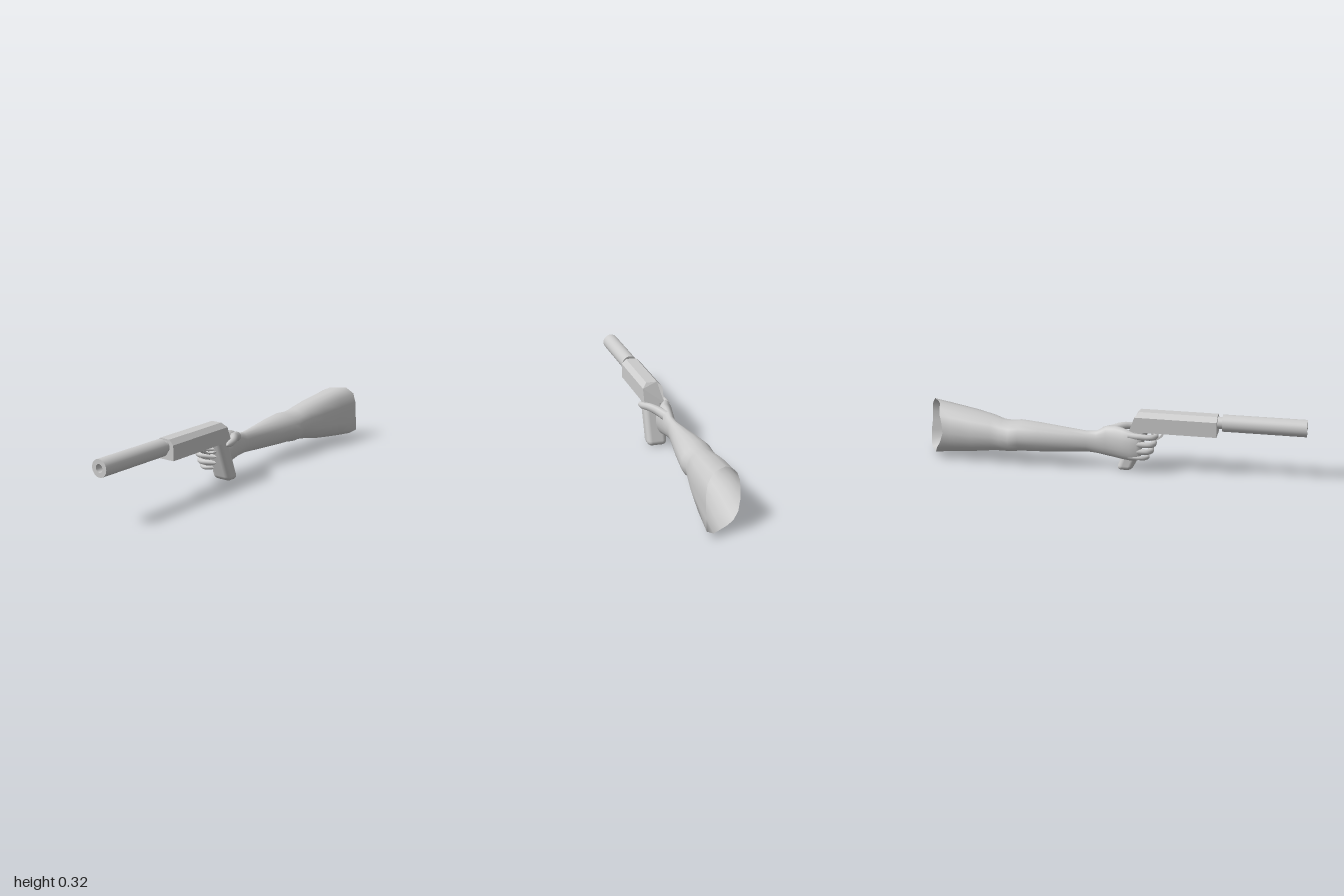
import * as THREE from 'three';
import { RoundedBoxGeometry } from 'three/addons/geometries/RoundedBoxGeometry.js';

const AXIS_X = 0.0075; // centre line of the pistol
const BORE_Y = 0.278;

export function createModel() {
  const model = new THREE.Group();
  const grey = new THREE.MeshStandardMaterial({ color: 0xcccccc });
  const flat = new THREE.MeshStandardMaterial({ color: 0xcccccc, flatShading: true });
  const skin = new THREE.MeshStandardMaterial({ color: 0xcccccc, side: THREE.DoubleSide });

  const add = (name, geometry, material, parent = model) => {
    const mesh = new THREE.Mesh(geometry, material);
    mesh.name = name;
    parent.add(mesh);
    return mesh;
  };

  // Skin over oval rings: [z, xMin, xMax, yMin, yMax]; adjust() may move each point
  const loft = (sections, sides, adjust) => {
    const pos = [], index = [];
    sections.forEach(([z, x0, x1, y0, y1], i) => {
      for (let j = 0; j < sides; j++) {
        const a = (j / sides) * Math.PI * 2;
        const p = new THREE.Vector3(
          (x0 + x1) / 2 + Math.cos(a) * (x1 - x0) / 2,
          (y0 + y1) / 2 + Math.sin(a) * (y1 - y0) / 2, z);
        if (adjust) adjust(p, i, a);
        pos.push(p.x, p.y, p.z);
        if (i < sections.length - 1) {
          const k = (j + 1) % sides, r = i * sides, s = r + sides;
          index.push(r + j, r + k, s + k, r + j, s + k, s + j);
        }
      }
    });
    const g = new THREE.BufferGeometry();
    g.setAttribute('position', new THREE.Float32BufferAttribute(pos, 3));
    g.setIndex(index);
    g.computeVertexNormals();
    return g;
  };

  // Tapered tube with a rounded tip
  const digit = (points, radius, taper) => {
    const curve = new THREE.CatmullRomCurve3(points.map(p => new THREE.Vector3(...p)));
    const steps = 24, sides = 10;
    const g = new THREE.TubeGeometry(curve, steps, radius, sides);
    const p = g.attributes.position, v = new THREE.Vector3();
    for (let i = 0; i <= steps; i++) {
      const t = i / steps, c = curve.getPointAt(t);
      const tip = t > 0.86 ? Math.sqrt(Math.max(0, 1 - ((t - 0.86) / 0.14) ** 2)) : 1;
      for (let j = 0; j <= sides; j++) {
        const n = i * (sides + 1) + j;
        v.fromBufferAttribute(p, n).sub(c).multiplyScalar((1 - taper * t) * tip).add(c);
        p.setXYZ(n, v.x, v.y, v.z);
      }
    }
    return g;
  };

  // Pistol
  const pistol = new THREE.Group();
  pistol.name = 'pistol';
  model.add(pistol);

  // Slide: chamfered section, with its rear end leaning forward
  const section = new THREE.Shape([
    [-0.045, 0.215], [0.06, 0.215], [0.06, 0.292], [0.036, 0.316], [-0.021, 0.316], [-0.045, 0.292],
  ].map(p => new THREE.Vector2(...p)));
  const slide = new THREE.ExtrudeGeometry(section, { depth: 0.44, bevelEnabled: false });
  const sp = slide.attributes.position;
  for (let i = 0; i < sp.count; i++) {
    const y = sp.getY(i);
    const rear = 0.118 + (y - 0.215) * 0.37 + Math.max(0, y - 0.292) * 0.5;
    sp.setZ(i, sp.getZ(i) > 0.2 ? 0.56 : rear);
  }
  add('slide', slide, flat, pistol);

  // Grip: rounded block sheared backwards
  const grip = new RoundedBoxGeometry(0.105, 0.24, 0.082, 4, 0.026);
  grip.applyMatrix4(new THREE.Matrix4().set(
    1, 0, 0, AXIS_X,
    0, 1, 0, 0.122,
    0, 0.37, 1, 0.136,
    0, 0, 0, 1));
  add('grip', grip, grey, pistol);

  // Suppressor with recessed bore
  const lathe = pts => {
    const g = new THREE.LatheGeometry(pts.map(p => new THREE.Vector2(...p)), 32).toNonIndexed();
    g.rotateX(Math.PI / 2).translate(AXIS_X, BORE_Y, 0);
    return g;
  };
  const tube = (name, ...bands) => bands.forEach(b => add(name, lathe(b), grey, pistol));
  tube('suppressor',
    [[0, 0.585], [0.043, 0.585]],
    [[0.043, 0.585], [0.043, 1]],
    [[0.043, 1], [0.02, 1]],
    [[0.02, 1], [0.02, 0.9]],
    [[0.02, 0.9], [0, 0.9]]);
  tube('barrelNeck', [[0.03, 0.55], [0.03, 0.59]]);

  // Trigger guard: bent flat strip, and trigger inside it
  const outline = new THREE.Shape();
  outline.moveTo(0.295, 0.217);
  outline.bezierCurveTo(0.29, 0.17, 0.24, 0.16, 0.19, 0.163);
  outline.lineTo(0.19, 0.171);
  outline.bezierCurveTo(0.24, 0.168, 0.28, 0.178, 0.284, 0.217);
  const strip = (shape, width) => {
    const g = new THREE.ExtrudeGeometry(shape, { depth: width, bevelEnabled: false, curveSegments: 10 });
    return g.rotateY(-Math.PI / 2).translate(AXIS_X + width / 2, 0, 0);
  };
  add('triggerGuard', strip(outline, 0.035), grey, pistol);
  const trigger = new THREE.Shape([[0.225, 0.22], [0.242, 0.22], [0.236, 0.195], [0.245, 0.178], [0.237, 0.178], [0.225, 0.195]]
    .map(p => new THREE.Vector2(...p)));
  add('trigger', strip(trigger, 0.014), flat, pistol);

  // Arm and palm in one skin; the open upper end is cut at a slant
  const arm = [
    [-0.925, -0.1, 0.108, 0.018, 0.292],
    [-0.83, -0.102, 0.1, 0.032, 0.28],
    [-0.7, -0.108, 0.085, 0.045, 0.262],
    [-0.6, -0.1, 0.066, 0.058, 0.245],
    [-0.55, -0.103, 0.058, 0.062, 0.232],
    [-0.5, -0.112, 0.066, 0.062, 0.226],
    [-0.45, -0.11, 0.062, 0.07, 0.233],
    [-0.35, -0.098, 0.047, 0.073, 0.226],
    [-0.2, -0.073, 0.02, 0.083, 0.21],
    [-0.1, -0.058, 0.003, 0.09, 0.2],
    [-0.05, -0.056, 0.002, 0.086, 0.204],
    [0, -0.063, 0.012, 0.077, 0.232],
    [0.045, -0.073, 0.022, 0.07, 0.237],
    [0.09, -0.083, 0.0, 0.068, 0.232],
    [0.13, -0.086, -0.025, 0.068, 0.222],
    [0.165, -0.084, -0.04, 0.072, 0.212],
    [0.185, -0.075, -0.045, 0.085, 0.2],
    [0.19, -0.061, -0.06, 0.14, 0.145],
  ];
  add('arm', loft(arm, 18, (p, i, a) => {
    const c = Math.cos(a), s = Math.sin(a);
    const upper = Math.max(0, 1 - i / 4);
    // squarer inner side towards the shoulder
    const square = 1 + 0.3 * upper * Math.max(0, c) * Math.abs(s) * 2 * (s < 0 ? 1 : 0.6);
    if (c > 0 && i < 4) {
      const mid = [(arm[i][1] + arm[i][2]) / 2, (arm[i][3] + arm[i][4]) / 2];
      p.x = mid[0] + Math.min((p.x - mid[0]) * square, (arm[i][2] - arm[i][1]) / 2);
      p.y = mid[1] + THREE.MathUtils.clamp((p.y - mid[1]) * square, (arm[i][3] - arm[i][4]) / 2, (arm[i][4] - arm[i][3]) / 2);
    }
    if (i === 0) p.z += -0.065 * c + 0.018 * s + 0.008 * Math.cos(4 * a);
    if (i === 1) p.z -= 0.02 * c;
  }), skin);

  // Fingers wrapped around the front of the grip: [height, tip x, front z]
  const hand = new THREE.Group();
  hand.name = 'hand';
  model.add(hand);
  [[0.197, 0.045, 0.262], [0.157, 0.05, 0.253], [0.12, 0.038, 0.24], [0.086, 0.01, 0.222]].forEach(([y, tip, z], i) => {
    const r = i === 3 ? 0.0135 : 0.017;
    add('finger', digit([
      [-0.062, y + 0.004, 0.12], [-0.068, y + 0.003, 0.18], [-0.06, y, z - 0.024],
      [-0.035, y - 0.001, z - 0.008], [(tip - 0.03) / 2, y, z - 0.014], [tip, y - 0.002, z - 0.03],
    ], r, 0.3), grey, hand);
  });

  // Thumb along the inner side of the grip
  add('thumb', digit([
    [-0.015, 0.195, -0.02], [0.012, 0.207, 0.03], [0.045, 0.216, 0.075],
    [0.066, 0.212, 0.115], [0.073, 0.204, 0.17],
  ], 0.027, 0.45), grey, hand);

  return model;
}
